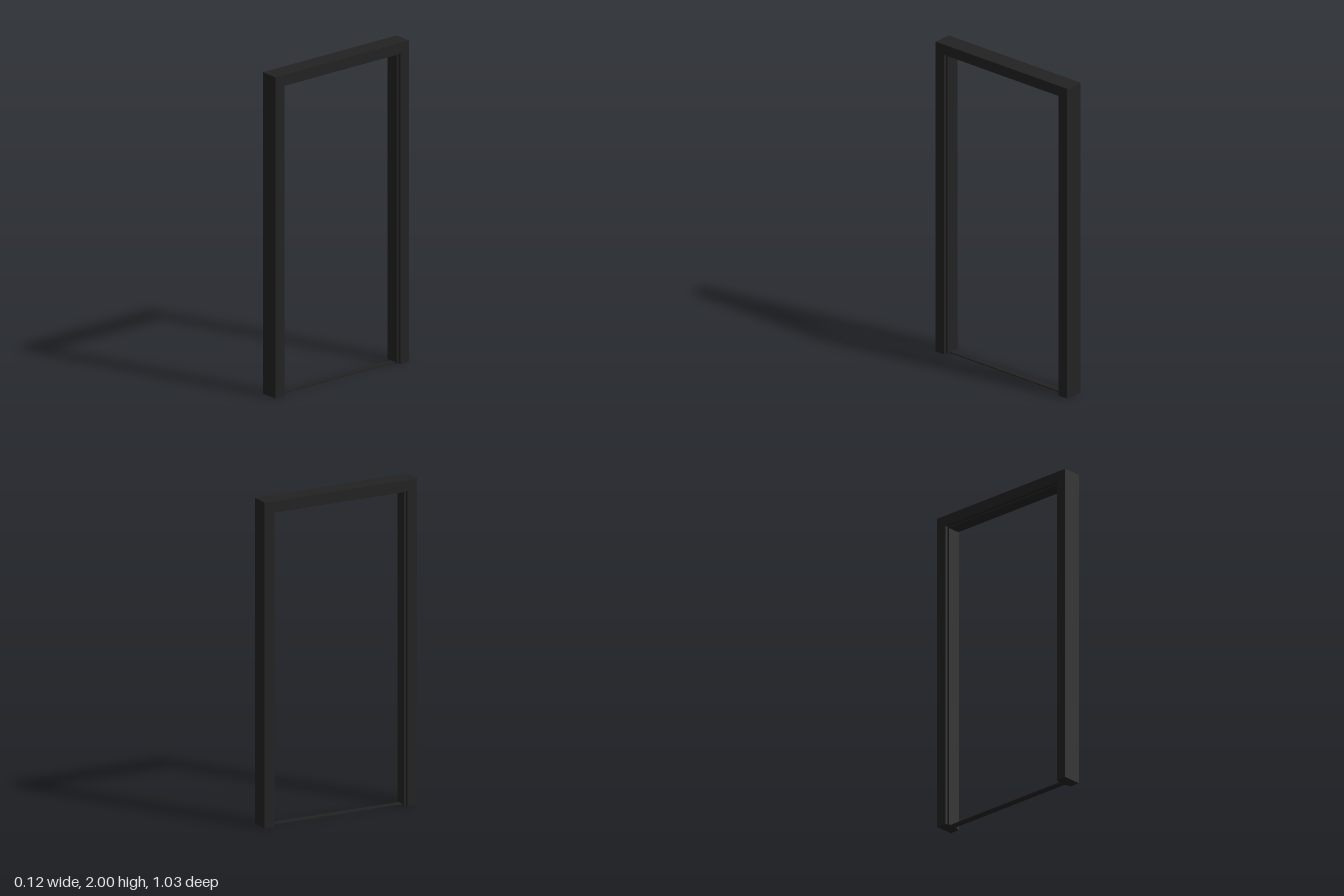
import * as THREE from 'three';

// Upside-down U in the z-y plane, extruded along x and centred on x = 0
function archGeometry(outerZ, outerY, innerZ, innerY, depth) {
  const shape = new THREE.Shape([
    [-outerZ, 0], [-innerZ, 0], [-innerZ, innerY], [innerZ, innerY],
    [innerZ, 0], [outerZ, 0], [outerZ, outerY], [-outerZ, outerY],
  ].map(([z, y]) => new THREE.Vector2(z, y)));
  const geometry = new THREE.ExtrudeGeometry(shape, { depth, bevelEnabled: false });
  geometry.translate(0, 0, -depth / 2);
  geometry.rotateY(Math.PI / 2);
  return geometry;
}

export function createModel() {
  const group = new THREE.Group();
  group.name = 'doorFrame';
  const black = new THREE.MeshStandardMaterial({ color: 0x222222 });
  black.name = 'charcoal';

  const add = (name, geometry) => {
    const mesh = new THREE.Mesh(geometry, black);
    mesh.name = name;
    group.add(mesh);
    return mesh;
  };

  // Side jambs and lintel in one piece
  add('jambsAndLintel', archGeometry(0.513, 2, 0.447, 1.934, 0.118));

  // Raised stop running around the inside of the opening
  add('doorStop', archGeometry(0.447, 1.934, 0.436, 1.923, 0.08));

  // Thin sill joining the feet of the jambs
  add('threshold', new THREE.BoxGeometry(0.04, 0.006, 0.872)).position.y = 0.003;

  return group;
}
